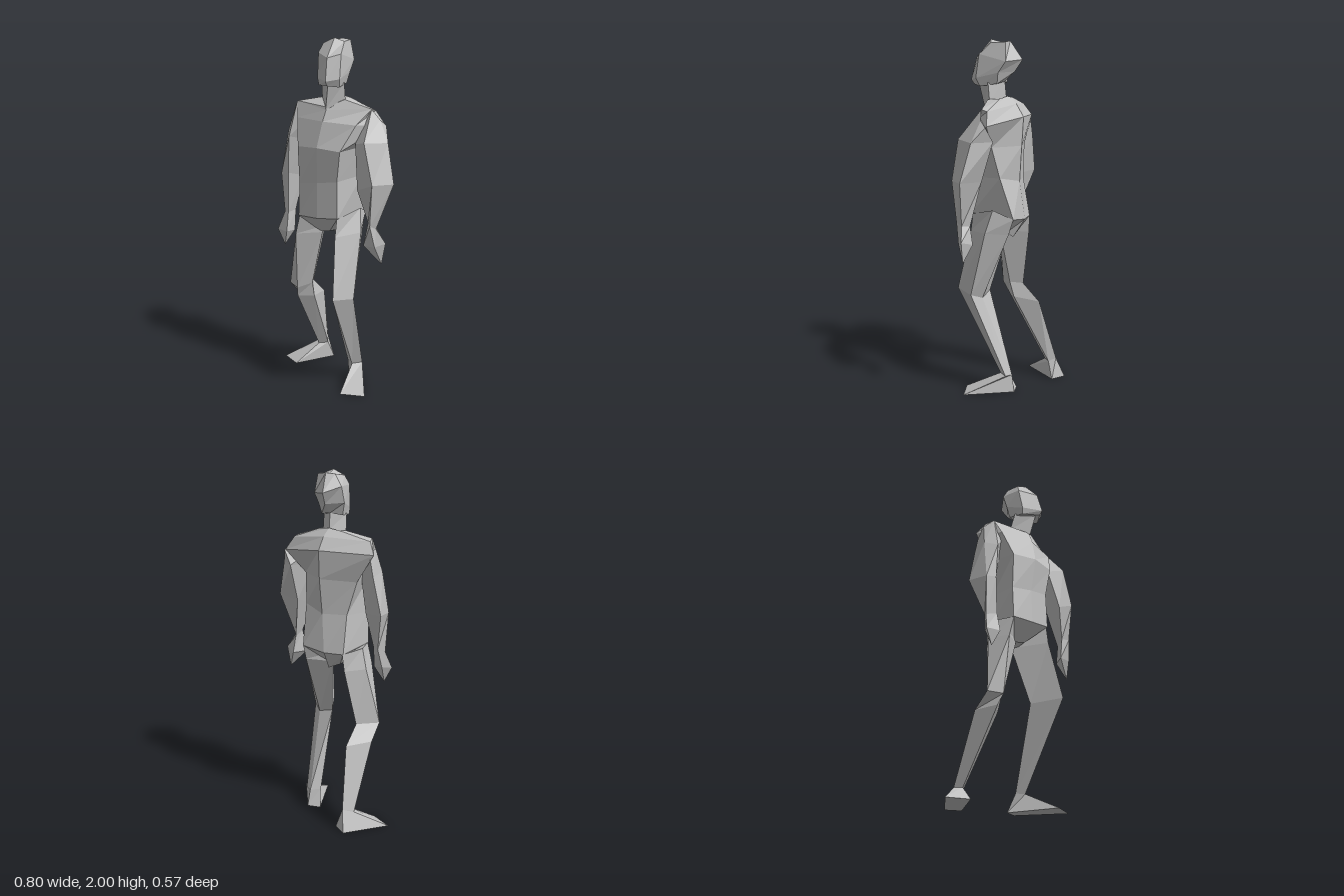
import * as THREE from 'three';

const grey = new THREE.MeshStandardMaterial({ color: 0xc0c0c0, flatShading: true });
grey.name = 'plainGrey';

// Skin rings of points, listed top to bottom, each ring running front, +x, back, -x.
// Ends are closed with fans around their centres.
function loft(name, rings) {
  const pos = [];
  const tri = (a, b, c) => pos.push(...a, ...b, ...c);
  for (let r = 0; r < rings.length - 1; r++) {
    const up = rings[r], low = rings[r + 1], n = up.length;
    for (let i = 0; i < n; i++) {
      const j = (i + 1) % n;
      tri(low[i], low[j], up[j]);
      tri(low[i], up[j], up[i]);
    }
  }
  const cap = (ring, top) => {
    const n = ring.length;
    const mid = [0, 1, 2].map(k => ring.reduce((s, p) => s + p[k], 0) / n);
    ring.forEach((p, i) => {
      const q = ring[(i + 1) % n];
      if (top) tri(mid, p, q); else tri(mid, q, p);
    });
  };
  cap(rings[0], true);
  cap(rings[rings.length - 1], false);
  const geo = new THREE.BufferGeometry();
  geo.setAttribute('position', new THREE.Float32BufferAttribute(pos, 3));
  geo.computeVertexNormals();
  const mesh = new THREE.Mesh(geo, grey);
  mesh.name = name;
  return mesh;
}

// A ring shrunk to one point, for finger tips
const point = (x, y, z) => Array.from({ length: 4 }, () => [x, y, z]);

export function createModel() {
  const model = new THREE.Group();
  model.name = 'standingFigure';

  // Head: front, left front, left back, back, right back, right front
  model.add(loft('head', [
    [[.03, 2, .1], [.08, 1.98, .085], [.08, 1.985, 0], [.03, 1.99, -.01], [-.02, 1.985, 0], [-.04, 1.97, .09]],
    [[.025, 1.9, .187], [.09, 1.92, .15], [.1, 1.88, -.005], [.02, 1.89, -.078], [-.06, 1.92, -.005], [-.06, 1.92, .11]],
    [[.03, 1.78, .218], [.09, 1.79, .17], [.095, 1.82, .04], [.025, 1.825, -.035], [-.065, 1.83, .025], [-.055, 1.79, .135]],
    [[.03, 1.755, .2], [.08, 1.745, .15], [.08, 1.76, .05], [.02, 1.77, .025], [-.05, 1.76, .035], [-.05, 1.75, .13]],
  ]));

  model.add(loft('neck', [
    [[.025, 1.765, .175], [.087, 1.765, .1], [.02, 1.78, .025], [-.057, 1.765, .08]],
    [[0, 1.625, .15], [.09, 1.66, .09], [.02, 1.68, .015], [-.065, 1.66, .05]],
  ]));

  // Torso: right front, mid front, left front, left back, mid back, right back
  model.add(loft('torso', [
    [[-.07, 1.675, .045], [0, 1.635, .14], [.09, 1.675, .1], [.09, 1.68, .03], [.02, 1.69, .01], [-.05, 1.68, 0]],
    [[-.22, 1.645, .045], [0, 1.62, .145], [.24, 1.63, .085], [.25, 1.62, .05], [.03, 1.65, -.045], [-.23, 1.635, -.01]],
    [[-.2, 1.56, .09], [-.01, 1.56, .17], [.18, 1.55, .16], [.3, 1.545, .038], [.04, 1.58, -.09], [-.265, 1.57, -.05]],
    [[-.17, 1.41, .15], [-.03, 1.42, .205], [.11, 1.41, .213], [.18, 1.42, .05], [.04, 1.42, -.08], [-.165, 1.41, -.035]],
    [[-.167, 1.2, .14], [-.04, 1.22, .18], [.085, 1.24, .195], [.16, 1.25, .01], [.03, 1.22, -.065], [-.11, 1.22, -.045]],
    [[-.17, 1.015, .15], [-.04, 1.02, .185], [.09, 1.035, .2], [.15, 1.02, -.065], [.01, 1, -.09], [-.105, 1, -.085]],
    [[-.08, .92, .08], [-.04, .92, .09], [0, .93, .1], [.03, .92, .01], [.01, .89, -.02], [-.06, .92, -.02]],
  ]));

  // Arms: left runs front, outer, back, inner; right runs front, inner, back, outer
  const leftWrist = [[.288, 1.02, .218], [.31, 1, .18], [.29, 1, .138], [.265, 1.03, .185]];
  model.add(loft('leftArm', [
    [[.24, 1.63, .087], [.285, 1.575, .075], [.308, 1.54, .042], [.17, 1.545, .13]],
    [[.25, 1.47, .217], [.345, 1.46, .11], [.26, 1.46, .015], [.175, 1.45, .155]],
    [[.305, 1.25, .236], [.398, 1.25, .155], [.25, 1.24, .085], [.21, 1.21, .208]],
    leftWrist,
  ]));
  model.add(loft('leftHand', [
    leftWrist,
    [[.31, .9, .2], [.36, .92, .165], [.3, .9, .12], [.24, .9, .19]],
    point(.338, .8, .165),
  ]));
  const rightWrist = [[-.26, 1.01, .102], [-.232, 1.02, .06], [-.27, 1.02, .025], [-.303, 1, .06]];
  model.add(loft('rightArm', [
    [[-.22, 1.645, .047], [-.15, 1.55, .06], [-.24, 1.57, -.048], [-.258, 1.6, 0]],
    [[-.25, 1.45, .098], [-.16, 1.43, .04], [-.265, 1.45, -.055], [-.288, 1.47, .03]],
    [[-.26, 1.24, .095], [-.192, 1.22, .035], [-.313, 1.24, -.056], [-.316, 1.23, .07]],
    rightWrist,
  ]));
  model.add(loft('rightHand', [
    rightWrist,
    [[-.26, .9, .125], [-.235, .9, .07], [-.29, .91, .045], [-.335, .9, .09]],
    point(-.29, .81, .09),
  ]));

  // Legs: the left steps forward with a bent knee, the right trails behind
  const leftAnkle = [[.108, .1, .025], [.155, .1, -.02], [.12, .1, -.048], [.067, .1, -.01]];
  model.add(loft('leftLeg', [
    [[.085, 1.03, .195], [.165, 1.07, .05], [.148, 1.02, -.065], [.01, .97, .01]],
    [[.08, .93, .21], [.185, .94, .09], [.145, .93, -.035], [0, .92, .01]],
    [[.1, .59, .285], [.18, .575, .178], [.13, .55, .125], [.04, .575, .11]],
    leftAnkle,
  ]));
  model.add(loft('leftFoot', [
    leftAnkle,
    [[.12, 0, .23], [.26, 0, .2], [.13, 0, -.065], [.052, 0, -.055]],
  ]));
  const rightAnkle = [[-.195, .1, -.16], [-.148, .1, -.195], [-.165, .12, -.237], [-.222, .1, -.2]];
  model.add(loft('rightLeg', [
    [[-.165, 1.015, .148], [-.04, .95, .07], [-.1, 1, -.087], [-.185, 1.02, .01]],
    [[-.195, .9, .14], [-.055, .91, .08], [-.11, .9, -.08], [-.21, .9, .005]],
    [[-.205, .56, .108], [-.138, .58, .045], [-.165, .57, -.03], [-.278, .565, .055]],
    [[-.218, .5, .08], [-.138, .49, .02], [-.145, .47, -.135], [-.265, .48, -.035]],
    rightAnkle,
  ]));
  model.add(loft('rightFoot', [
    rightAnkle,
    [[-.29, 0, -.03], [-.12, 0, -.225], [-.19, 0, -.285], [-.4, 0, -.105]],
  ]));

  return model;
}
